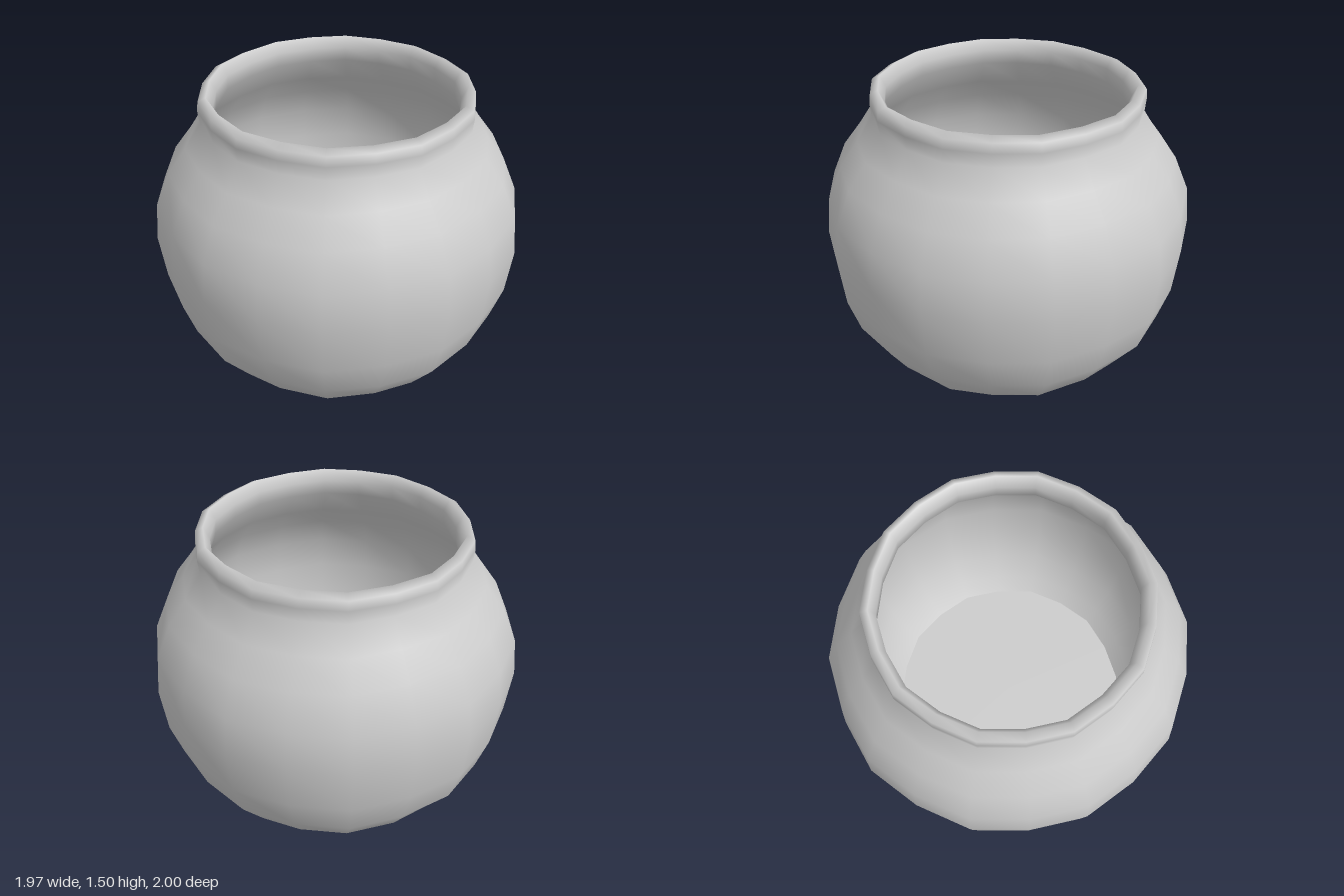
import * as THREE from 'three';

const SIDES = 20;
const clay = new THREE.MeshStandardMaterial({ color: 0xcccccc });
clay.name = 'paleGrey';

// Lathe whose odd columns sit slightly further in
function turned(points, rule) {
  const geo = new THREE.LatheGeometry(points.map(([r, y]) => new THREE.Vector2(r, y)), SIDES);
  const pos = geo.attributes.position;
  const rows = points.length;
  for (let i = 0; i < pos.count; i++) {
    const column = Math.floor(i / rows);
    const odd = column % 2 === 1;
    const k = odd ? 0.986 : 1;
    pos.setX(i, pos.getX(i) * k);
    pos.setZ(i, pos.getZ(i) * k);
    if (rule) rule(pos, i, i % rows, odd);
  }
  return geo;
}

export function createModel() {
  const group = new THREE.Group();
  group.name = 'pot';

  // Base, belly, neck and rolled rim, then the inner wall back down
  const profile = [
    [0, 0], [0.725, 0], [0.82, 0.1], [0.915, 0.25], [0.975, 0.45], [1, 0.71],
    [0.975, 0.92], [0.895, 1.1], [0.795, 1.23], [0.708, 1.36],
    [0.714, 1.43], [0.708, 1.48], [0.667, 1.5],
    [0.637, 1.44], [0.645, 1.36], [0.74, 1.21], [0.84, 1.08], [0.92, 0.91],
    [0.945, 0.71], [0.92, 0.46], [0.86, 0.27], [0.77, 0.13], [0.7, 0.05],
  ];
  // The lowest ring dips almost to the base in every even column
  const body = new THREE.Mesh(turned(profile, (pos, i, row, odd) => {
    if (row !== 2 || odd) return;
    const s = 0.76 / 0.82;
    pos.setXYZ(i, pos.getX(i) * s, 0.03, pos.getZ(i) * s);
  }), clay);
  body.name = 'potBody';
  group.add(body);

  // Flat floor inside
  const floor = new THREE.Mesh(turned([[0.7, 0.05], [0, 0.05]]), clay);
  floor.name = 'innerFloor';
  group.add(floor);

  return group;
}
